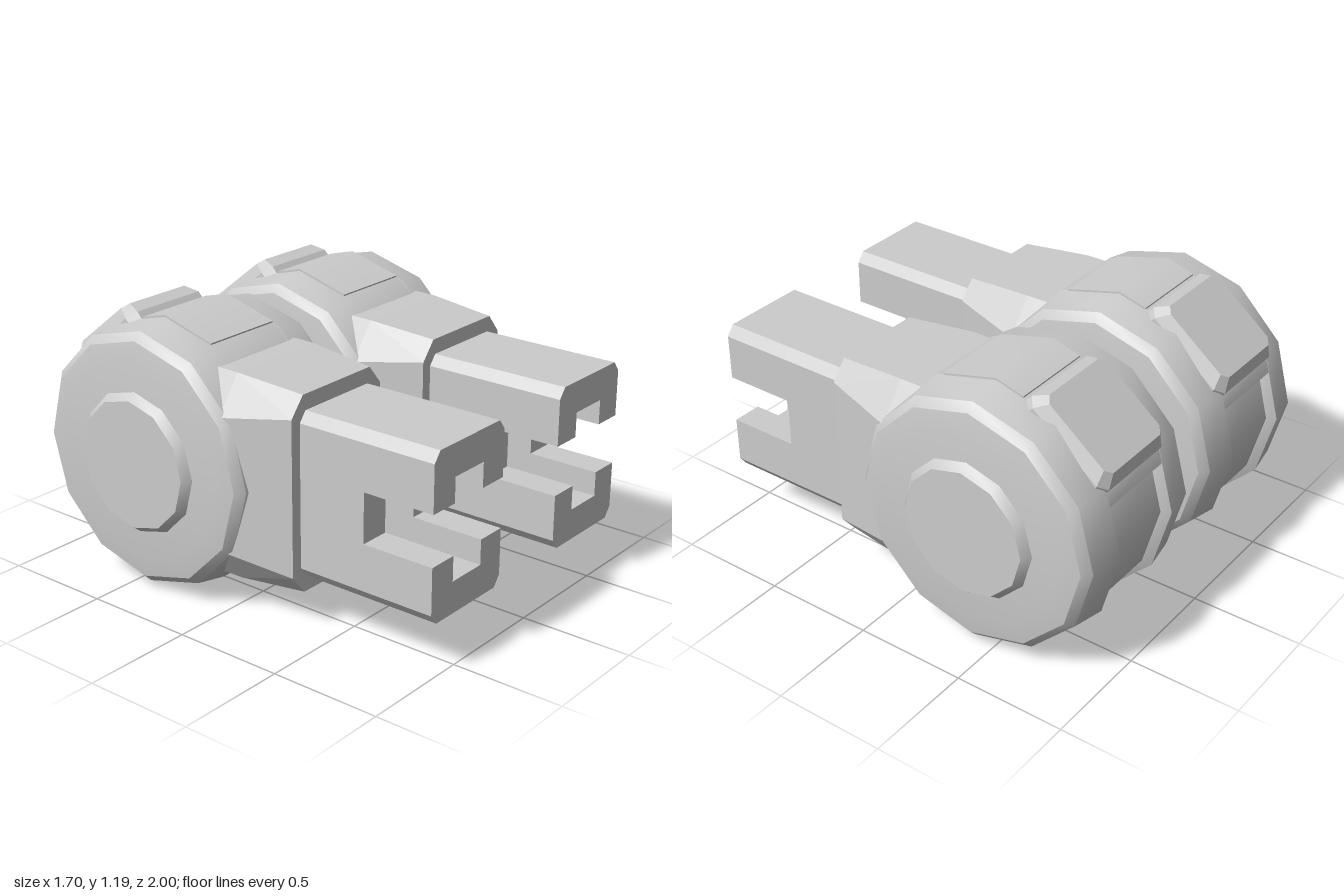
import * as THREE from 'three';
import { toCreasedNormals } from 'three/addons/utils/BufferGeometryUtils.js';
import { ConvexGeometry } from 'three/addons/geometries/ConvexGeometry.js';

const material = new THREE.MeshStandardMaterial({ color: 0xcccccc });
const RAD = Math.PI / 180;
const SIDES = 12;

function part(name, geometry, parent) {
  const mesh = new THREE.Mesh(geometry, material);
  mesh.name = name;
  parent.add(mesh);
  return mesh;
}

// Twelve-sided turned solid around the x axis; profile is [radius, x], mirrored in x
function turned(half) {
  const right = half.map(([r, x]) => new THREE.Vector2(r, x));
  const left = half.map(([r, x]) => new THREE.Vector2(r, -x)).reverse();
  const geo = new THREE.LatheGeometry([...left, ...right], SIDES);
  geo.rotateZ(-Math.PI / 2);
  return toCreasedNormals(geo, 0.6);
}

// Curved slab following the twelve-sided rim; angles run from the top toward the back
function rimSlab(from, to, radius, inner, halfWidth) {
  const angles = [from];
  for (let a = Math.ceil((from + 1) / 30) * 30; a < to; a += 30) angles.push(a);
  angles.push(to);
  const at = (a, r) => {
    const k = r * Math.cos(15 * RAD) / Math.cos((a % 30 - 15) * RAD);
    return new THREE.Vector2(-Math.sin(a * RAD) * k, Math.cos(a * RAD) * k);
  };
  const outline = angles.map(a => at(a, radius));
  outline.push(...angles.reverse().map(a => at(a, inner)));
  const geo = new THREE.ExtrudeGeometry(new THREE.Shape(outline), { depth: 2 * halfWidth, bevelEnabled: false });
  geo.translate(0, 0, -halfWidth).rotateY(-Math.PI / 2);
  return toCreasedNormals(geo, 0.6);
}

// Corners of a rectangle with cut corners
const cutRect = (w, h, cx, cy) => [
  [w, h - cy], [w - cx, h], [cx - w, h], [-w, h - cy],
  [-w, cy - h], [cx - w, -h], [w - cx, -h], [w, cy - h],
];

// Solid spanning several cut rectangles, each [level, w, h, cx, cy] along z
function loft(sections) {
  const points = sections.flatMap(([z, ...rect]) =>
    cutRect(...rect).map(([x, y]) => new THREE.Vector3(x, y, z)));
  return new ConvexGeometry(points);
}

function prism(points, z0, z1, hole) {
  const vec = list => list.map(([x, y]) => new THREE.Vector2(x, y));
  const shape = new THREE.Shape(vec(points));
  if (hole) shape.holes.push(new THREE.Path(vec(hole)));
  return new THREE.ExtrudeGeometry(shape, { depth: z1 - z0, bevelEnabled: false }).translate(0, 0, z0);
}

function createUnit() {
  const unit = new THREE.Group();
  unit.name = 'jointUnit';

  // Drum with a central groove, hub discs and rim details
  const drum = new THREE.Group();
  drum.name = 'drumAssembly';
  drum.position.set(0, 0.59, -0.41);
  unit.add(drum);
  part('drum', turned([
    [0.55, 0.165], [0.59, 0.185], [0.565, 0.335], [0.53, 0.37], [0.44, 0.383], [0, 0.385],
  ]), drum);
  part('hubDiscs', turned([[0.325, 0.37], [0.285, 0.42], [0, 0.42]]), drum);
  part('grooveFill', rimSlab(205, 428, 0.589, 0.4, 0.185), drum);
  part('topPanel', rimSlab(334, 373, 0.598, 0.5, 0.19), drum);

  // Raised pad on the upper back
  const pad = part('backPad', loft([
    [0.5, 0.228, 0.235, 0.04, 0.04],
    [0.555, 0.225, 0.23, 0.04, 0.04],
    [0.61, 0.195, 0.19, 0.03, 0.03],
  ]).rotateX(-Math.PI / 2), drum);
  pad.rotation.x = -38.5 * RAD;

  // Tapered neck
  const neck = part('neck', loft([
    [-0.25, 0.35, 0.458, 0.115, 0.16],
    [0.03, 0.35, 0.455, 0.115, 0.16],
    [0.35, 0.28, 0.428, 0.07, 0.085],
  ]), unit);
  neck.position.y = 0.594;

  // Forked arm: solid root, deep upright slot, then two jaws
  const arm = new THREE.Group();
  arm.name = 'forkedArm';
  arm.position.y = 0.594;
  unit.add(arm);
  const outline = cutRect(0.23, 0.36, 0.035, 0.045);
  const slot = [[-0.093, -0.22], [0.093, -0.22], [0.093, 0.22], [-0.093, 0.22]];
  part('armRoot', prism(outline, 0.3, 0.5), arm);
  part('armSlot', prism(outline, 0.5, 0.67, slot), arm);
  const jaw = [
    [0.23, 0.11], [0.23, 0.315], [0.195, 0.36], [-0.195, 0.36], [-0.23, 0.315], [-0.23, 0.11],
    [-0.093, 0.11], [-0.093, 0.22], [0.093, 0.22], [0.093, 0.11],
  ];
  part('upperJaw', prism(jaw, 0.67, 1), arm);
  part('lowerJaw', prism(jaw.map(([x, y]) => [-x, -y]), 0.67, 1), arm);
  return unit;
}

export function createModel() {
  const model = new THREE.Group();
  model.name = 'pairedJoints';
  for (const [name, side] of [['left', 1], ['right', -1]]) {
    const unit = createUnit();
    unit.name = name + 'Joint';
    unit.position.x = side * 0.43;
    model.add(unit);
  }
  return model;
}
